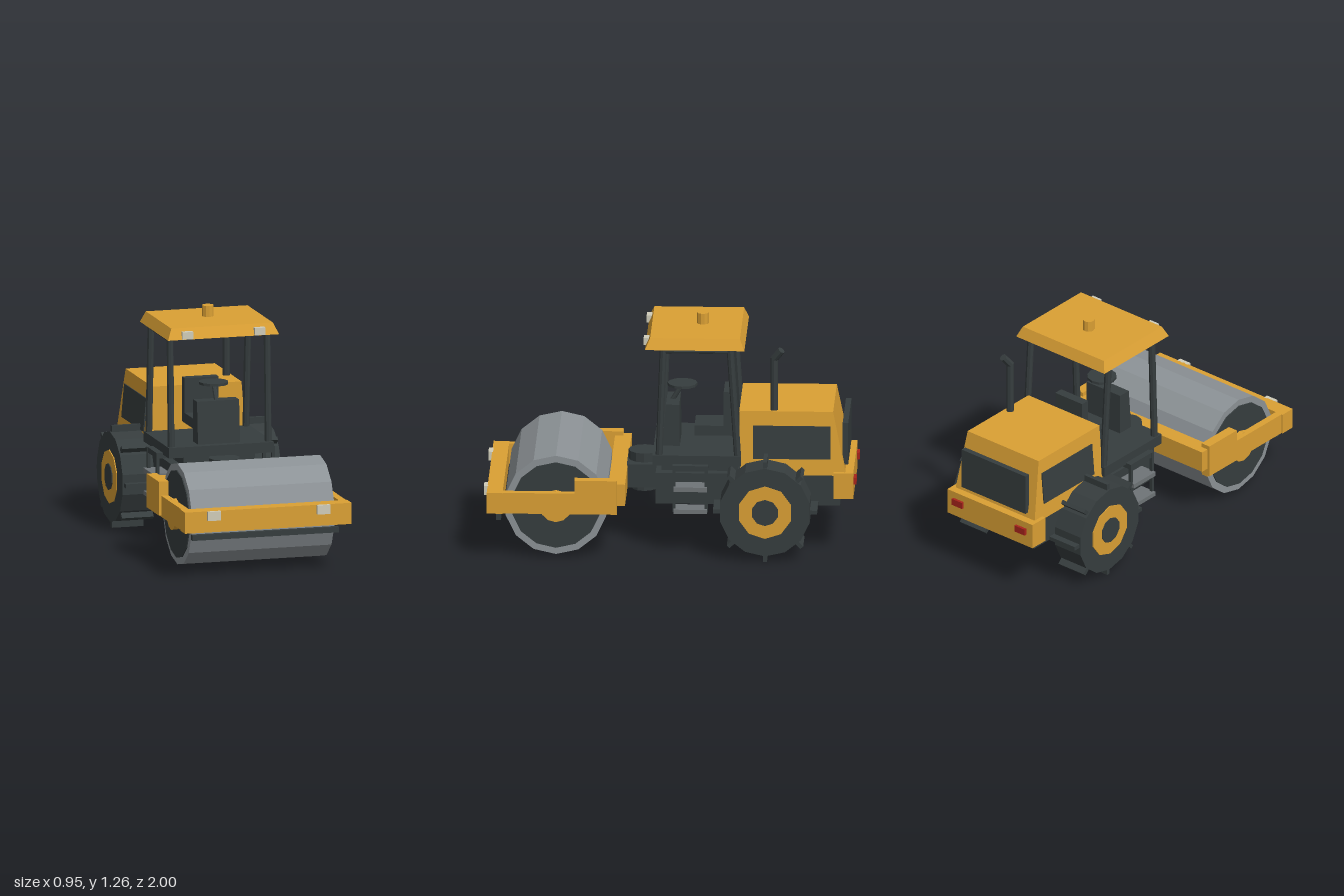
import * as THREE from 'three';

const paint = (name, color) => {
  const m = new THREE.MeshStandardMaterial({ color });
  m.name = name;
  return m;
};

export function createModel() {
  const model = new THREE.Group();
  model.name = 'roadRoller';
  const yellow = paint('yellowPaint', 0xdba034);
  const dark = paint('darkMetal', 0x363d3e);
  const steel = paint('drumSteel', 0x8c9296);
  const stepGrey = paint('stepGrey', 0x6f7477);
  const cream = paint('lampCream', 0xd0cdba);
  const red = paint('tailRed', 0xa8241c);

  const add = (name, geo, mat) => {
    const m = new THREE.Mesh(geo, mat);
    m.name = name;
    model.add(m);
    return m;
  };
  // box from its two extents on every axis
  const box = (name, mat, x0, x1, y0, y1, z0, z1) => {
    const g = new THREE.BoxGeometry(x1 - x0, y1 - y0, z1 - z0);
    g.translate((x0 + x1) / 2, (y0 + y1) / 2, (z0 + z1) / 2);
    return add(name, g, mat);
  };
  // box whose top has its own half width and z extents
  const tapered = (name, mat, y0, y1, wBot, zBot, wTop, zTop) => {
    const g = new THREE.BoxGeometry(1, 1, 1);
    const p = g.attributes.position;
    for (let i = 0; i < p.count; i++) {
      const top = p.getY(i) > 0;
      const z = top ? zTop : zBot;
      p.setXYZ(i, Math.sign(p.getX(i)) * (top ? wTop : wBot), top ? y1 : y0, p.getZ(i) < 0 ? z[0] : z[1]);
    }
    g.computeVertexNormals();
    return add(name, g, mat);
  };
  // faceted cylinder along x, with a vertex at its top
  const axle = (name, mat, r, x0, x1, y, z, sides) => {
    const g = new THREE.CylinderGeometry(r, r, x1 - x0, sides, 1, false, Math.PI / 2).toNonIndexed();
    g.rotateZ(Math.PI / 2).translate((x0 + x1) / 2, y, z);
    g.computeVertexNormals();
    return add(name, g, mat);
  };
  // faceted upright cylinder
  const disc = (name, mat, r, y0, y1, x, z, sides) => {
    const g = new THREE.CylinderGeometry(r, r, y1 - y0, sides).toNonIndexed();
    g.translate(x, (y0 + y1) / 2, z);
    g.computeVertexNormals();
    return add(name, g, mat);
  };
  // faceted rod between two points
  const rod = (name, mat, r, a, b, sides = 8) => {
    const from = new THREE.Vector3(...a), to = new THREE.Vector3(...b);
    const g = new THREE.CylinderGeometry(r, r, from.distanceTo(to), sides).toNonIndexed();
    g.computeVertexNormals();
    const m = add(name, g, mat);
    m.position.copy(from).add(to).multiplyScalar(0.5);
    m.quaternion.setFromUnitVectors(new THREE.Vector3(0, 1, 0), to.sub(from).normalize());
    return m;
  };

  // drum and its frame
  axle('drumShell', steel, 0.277, -0.4, 0.4, 0.295, 0.61, 14);
  axle('drumEnds', dark, 0.24, -0.406, 0.406, 0.295, 0.61, 14);
  box('frontBar', yellow, -0.467, 0.467, 0.262, 0.378, 0.895, 0.98);
  box('rearBar', yellow, -0.46, 0.46, 0.312, 0.432, 0.236, 0.325);
  box('scraper', dark, -0.41, 0.41, 0.21, 0.24, 0.905, 0.933);

  // articulation joint
  box('jointBlock', dark, -0.12, 0.12, 0.31, 0.44, 0.07, 0.24);
  disc('jointTop', dark, 0.085, 0.44, 0.49, 0, 0.15, 12);
  disc('jointBottom', dark, 0.07, 0.275, 0.31, 0, 0.15, 12);

  // rear body
  box('chassis', dark, -0.25, 0.25, 0.263, 0.435, -0.912, 0.08);
  box('platform', dark, -0.295, 0.295, 0.49, 0.547, -0.38, 0.095);
  box('platformSupport', dark, -0.2, 0.2, 0.43, 0.5, -0.36, 0.05);
  tapered('hood', yellow, 0.44, 0.79, 0.28, [-0.945, -0.375], 0.25, [-0.875, -0.37]);
  box('rearGrille', dark, -0.225, 0.225, 0.488, 0.72, -0.955, -0.925);
  box('rearBumper', yellow, -0.3, 0.3, 0.316, 0.46, -0.985, -0.878);

  // wheels, lamps, steps, posts and arms on both sides
  const wheelY = 0.28, wheelZ = -0.516;
  for (const s of [-1, 1]) {
    const span = (a, b) => (s > 0 ? [a, b] : [-b, -a]);
    box('sideArm', yellow, ...span(0.42, 0.46), 0.262, 0.378, 0.28, 0.98);
    box('armRiser', yellow, ...span(0.418, 0.474), 0.27, 0.455, 0.28, 0.508);
    axle('drumHub', yellow, 0.086, ...span(0.4, 0.436), 0.295, 0.61, 12);
    box('headlight', cream, ...span(0.27, 0.343), 0.328, 0.378, 0.975, 1.0);
    box('roofLight', cream, ...span(0.173, 0.232), 1.148, 1.188, 0.11, 0.145);
    box('tailLight', red, ...span(0.185, 0.257), 0.385, 0.422, -1.0, -0.98);

    axle('tyre', dark, 0.247, ...span(0.265, 0.445), wheelY, wheelZ, 14);
    axle('wheelRim', yellow, 0.147, ...span(0.3, 0.45), wheelY, wheelZ, 10);
    axle('wheelHub', dark, 0.073, ...span(0.3, 0.455), wheelY, wheelZ, 10);
    for (let i = 0; i < 8; i++) {
      const lug = new THREE.BoxGeometry(0.178, 0.05, 0.022);
      lug.translate(s * 0.348, 0.255, 0).rotateX(i * Math.PI / 4).translate(0, wheelY, wheelZ);
      add('treadLug', lug, dark);
    }

    // dark panel lying on the sloping hood side
    const panel = box('hoodPanel', dark, -0.004, 0.004, -0.091, 0.091, -0.208, 0.208);
    panel.position.set(s * 0.267, 0.62, -0.653);
    panel.rotation.z = s * Math.atan2(0.03, 0.35);

    box('upperStep', stepGrey, ...span(0.25, 0.35), 0.36, 0.385, -0.2, -0.02);
    box('lowerStep', stepGrey, ...span(0.25, 0.35), 0.237, 0.26, -0.2, -0.02);
    for (const z of [-0.195, -0.022])
      box('stepRail', dark, ...span(0.315, 0.332), 0.24, 0.5, z - 0.009, z + 0.009);
    box('stepBracket', dark, ...span(0.24, 0.33), 0.47, 0.5, -0.204, -0.013);

    rod('frontPost', dark, 0.019, [s * 0.272, 0.54, 0.06], [s * 0.272, 1.145, 0.038]);
    rod('rearPost', dark, 0.019, [s * 0.272, 0.54, -0.362], [s * 0.272, 1.145, -0.322]);
    rod('roofRail', dark, 0.014, [s * 0.272, 1.13, 0.045], [s * 0.272, 1.13, -0.33]);
  }

  // canopy
  tapered('roof', yellow, 1.145, 1.205, 0.311, [-0.4, 0.135], 0.285, [-0.375, 0.108]);
  disc('beacon', yellow, 0.032, 1.2, 1.265, 0, -0.165, 10);

  // exhaust pipe
  rod('exhaustPipe', dark, 0.021, [0.22, 0.77, -0.557], [0.22, 1.085, -0.557]);
  rod('exhaustTip', dark, 0.021, [0.22, 1.075, -0.555], [0.236, 1.13, -0.597]);

  // controls and seat
  tapered('console', dark, 0.545, 0.778, 0.118, [-0.045, 0.05], 0.118, [-0.042, 0.03]);
  rod('steeringColumn', dark, 0.013, [0, 0.77, 0.0], [0, 0.86, -0.055]);
  disc('steeringWheel', dark, 0.08, 0.854, 0.868, 0, -0.055, 12);
  box('seatBase', dark, -0.095, 0.095, 0.6, 0.655, -0.33, -0.123);
  box('seatBack', dark, -0.095, 0.095, 0.6, 0.845, -0.33, -0.28);

  return model;
}
